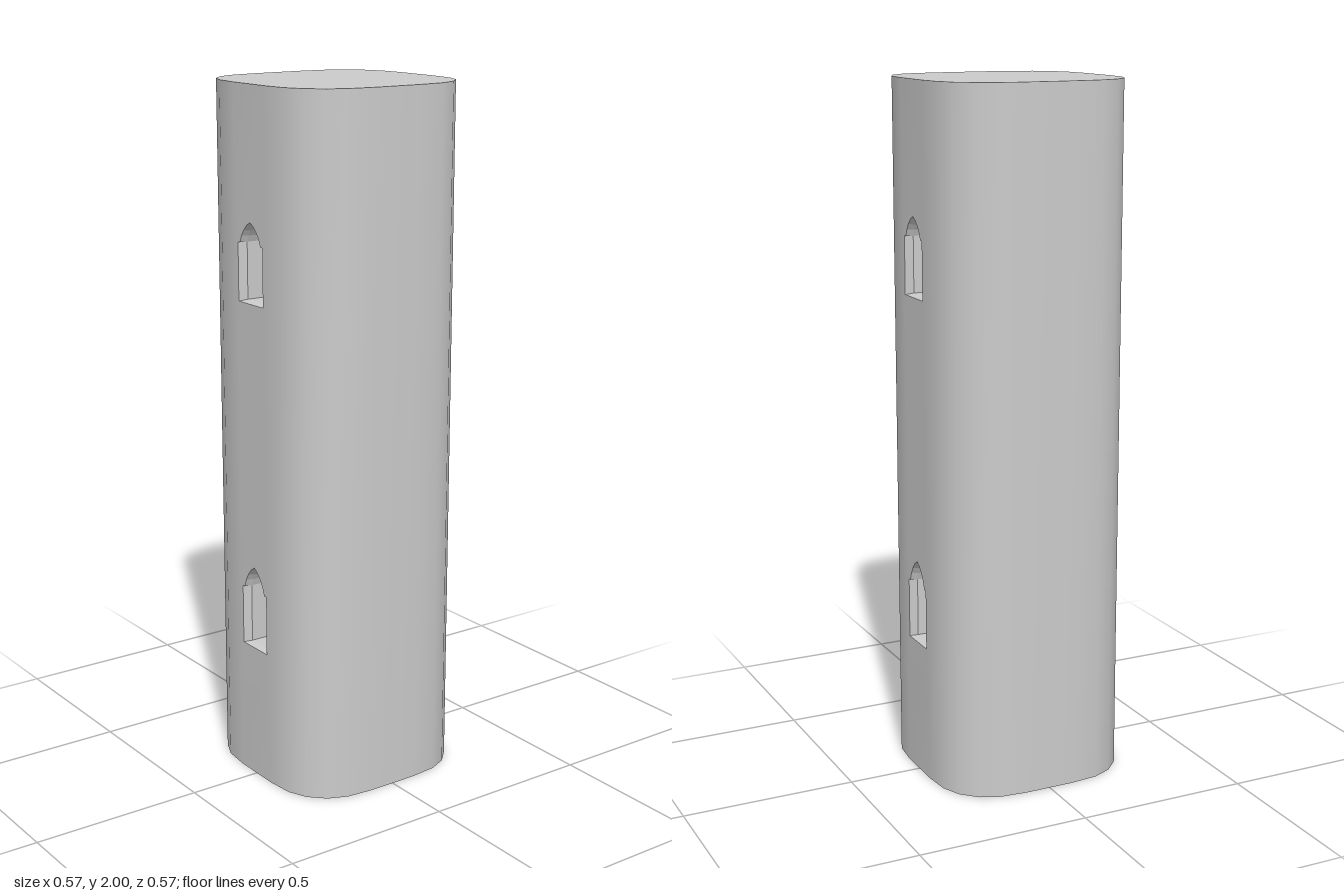
import * as THREE from 'three';
import { mergeGeometries, toCreasedNormals } from 'three/addons/utils/BufferGeometryUtils.js';

const HEIGHT = 2, FACE = 0.285, FLAT = 0.075, SPLAY = 0.02, DEPTH = 0.2;

// One quarter of the rounded-square plan, from the front face to the side face
const QUARTER = [[FLAT, FACE], [0.155, 0.277], [0.21, 0.253], [0.253, 0.21], [0.277, 0.155], [FACE, FLAT]];

// Sill, shoulder and apex heights of the windows
const WINDOWS = [
  { name: 'lowerWindow', sill: 0.395, shoulder: 0.57, apex: 0.64 },
  { name: 'upperWindow', sill: 1.405, shoulder: 1.57, apex: 1.63 },
];

// Pointed window outline, counter-clockwise; the jamb stands out from the arch by a small step
function windowOutline({ sill, shoulder, apex }, jamb, spring, inset) {
  const rise = apex - inset - shoulder;
  const right = [
    [jamb, sill + inset], [jamb, shoulder], [spring, shoulder],
    [spring * 0.84, shoulder + rise * 0.33], [spring * 0.62, shoulder + rise * 0.6],
    [spring * 0.3, shoulder + rise * 0.86],
  ];
  const left = right.map(([x, y]) => [-x, y]).reverse();
  return [...right, [0, apex - inset], ...left].map(([x, y]) => new THREE.Vector2(x, y));
}

const outerOutline = (w) => windowOutline(w, 0.06, 0.05, 0);
const innerOutline = (w) => windowOutline(w, 0.045, 0.045, 0.005);

// Splayed jambs, straight tunnel and back wall of one window
function recessGeometry(w) {
  const at = (points, z) => points.map((p) => [p.x, p.y, z]);
  const rings = [
    at(outerOutline(w), FACE),
    at(innerOutline(w), FACE - SPLAY),
    at(innerOutline(w), FACE - DEPTH),
  ];
  const pos = [];
  for (let r = 0; r < rings.length - 1; r++) {
    const f = rings[r], b = rings[r + 1];
    for (let i = 0; i < f.length; i++) {
      const j = (i + 1) % f.length;
      pos.push(...f[i], ...f[j], ...b[j], ...f[i], ...b[j], ...b[i]);
    }
  }
  const reveal = new THREE.BufferGeometry();
  reveal.setAttribute('position', new THREE.Float32BufferAttribute(pos, 3));
  reveal.computeVertexNormals();
  const back = new THREE.ShapeGeometry(new THREE.Shape(innerOutline(w))).toNonIndexed();
  back.deleteAttribute('uv');
  back.translate(0, 0, FACE - DEPTH);
  return mergeGeometries([reveal, back]);
}

// Rounded side wall, bent from a plane along the plan outline
function sideWall(outline) {
  const geo = new THREE.PlaneGeometry(1, HEIGHT, outline.length - 1, 1);
  const p = geo.attributes.position;
  for (let i = 0; i < p.count; i++) {
    const [x, z] = outline[i % outline.length];
    p.setXYZ(i, x, p.getY(i) + HEIGHT / 2, z);
  }
  return geo;
}

// Flat face pierced by the window openings
function piercedFace() {
  const shape = new THREE.Shape([
    new THREE.Vector2(-FLAT, 0), new THREE.Vector2(FLAT, 0),
    new THREE.Vector2(FLAT, HEIGHT), new THREE.Vector2(-FLAT, HEIGHT),
  ]);
  shape.holes = WINDOWS.map((w) => new THREE.Path(outerOutline(w)));
  return new THREE.ShapeGeometry(shape).translate(0, 0, FACE);
}

export function createModel() {
  const group = new THREE.Group();
  const material = new THREE.MeshStandardMaterial({ color: 0xcccccc });
  const add = (geo, name, turn = 0) => {
    const mesh = new THREE.Mesh(geo, material);
    mesh.name = name;
    mesh.rotation.y = turn;
    group.add(mesh);
  };

  // Column shaft: two rounded sides, two pierced faces, top and bottom
  const half = [...QUARTER, ...QUARTER.map(([x, z]) => [x, -z]).reverse()];
  const plan = [...half, ...half.map(([x, z]) => [-x, -z])].map(([x, z]) => new THREE.Vector2(x, z));
  const cap = () => new THREE.ShapeGeometry(new THREE.Shape(plan));
  const shaft = mergeGeometries([
    sideWall(half), sideWall(half).rotateY(Math.PI),
    piercedFace(), piercedFace().rotateY(Math.PI),
    cap().rotateX(-Math.PI / 2).translate(0, HEIGHT, 0),
    cap().rotateX(Math.PI / 2),
  ]);
  add(toCreasedNormals(shaft, 0.7), 'columnShaft');

  // Window recesses on front and back
  for (const w of WINDOWS) {
    add(recessGeometry(w), w.name + 'Front');
    add(recessGeometry(w), w.name + 'Back', Math.PI);
  }
  return group;
}
